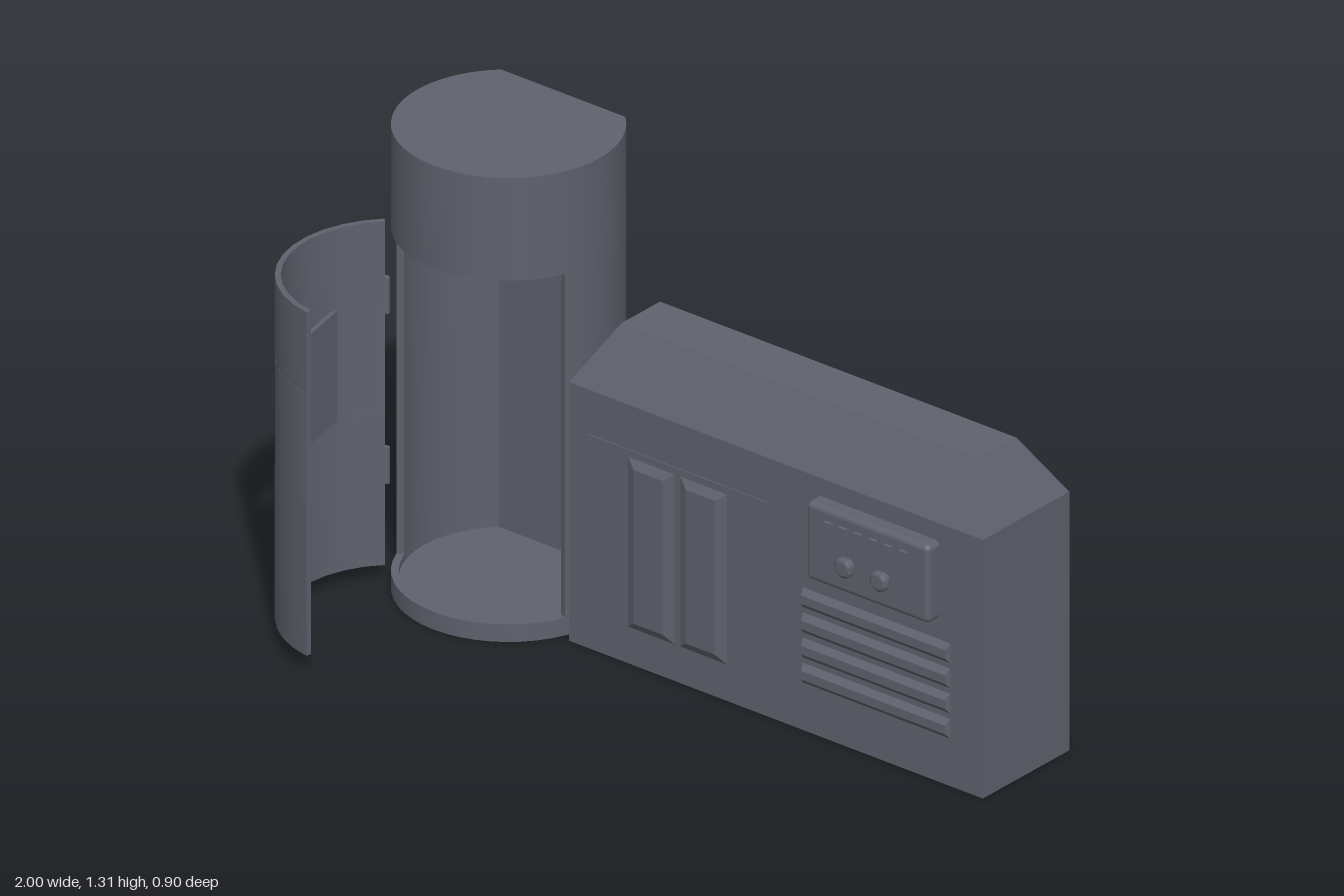
import * as THREE from 'three';
import { toCreasedNormals } from 'three/addons/utils/BufferGeometryUtils.js';
import { RoundedBoxGeometry } from 'three/addons/geometries/RoundedBoxGeometry.js';
import { ParametricGeometry } from 'three/addons/geometries/ParametricGeometry.js';

const material = new THREE.MeshStandardMaterial({ color: 0x5f616d, side: THREE.DoubleSide });

function add(parent, name, geometry, x = 0, y = 0, z = 0) {
  const mesh = new THREE.Mesh(geometry, material);
  mesh.name = name;
  mesh.position.set(x, y, z);
  parent.add(mesh);
  return mesh;
}

// points on an arc, as a plan outline (second coordinate is -z)
function arc(cx, cz, r, from, to, n) {
  return Array.from({ length: n + 1 }, (_, i) => {
    const a = from + (to - from) * i / n;
    return new THREE.Vector2(cx + r * Math.cos(a), -cz + r * Math.sin(a));
  });
}

// plan outline raised from y0 to y1
function prism(points, y0, y1, hole) {
  const shape = new THREE.Shape(points);
  if (hole) shape.holes.push(new THREE.Path(hole));
  const g = new THREE.ExtrudeGeometry(shape, { depth: y1 - y0, bevelEnabled: false });
  g.rotateX(-Math.PI / 2).translate(0, y0, 0);
  return toCreasedNormals(g, 0.5);
}

// box whose front (+z) or top (+y) face is drawn in by insets
function frustum(w, h, d, axis, insetA, insetB) {
  const g = new THREE.BoxGeometry(w, h, d);
  const p = g.attributes.position;
  for (let i = 0; i < p.count; i++) {
    const v = new THREE.Vector3().fromBufferAttribute(p, i);
    if (v[axis] < 0) continue;
    const other = axis === 'z' ? 'y' : 'z';
    v.x -= Math.sign(v.x) * insetA;
    v[other] -= Math.sign(v[other]) * insetB;
    p.setXYZ(i, v.x, v.y, v.z);
  }
  const flat = g.toNonIndexed();
  flat.computeVertexNormals();
  return flat;
}

function createTower() {
  const tower = new THREE.Group();
  tower.name = 'tower';
  const cx = -0.645, cz = -0.235, R = 0.295, wall = 0.02, back = 0.215, open = 0.38;
  const cut = Math.asin(back / R), cutIn = Math.asin((back - wall) / (R - wall));
  const outline = arc(cx, cz, R, Math.PI - cut, 2 * Math.PI + cut, 36);
  const inner = arc(cx, cz, R - wall, Math.PI - cutIn, 2 * Math.PI + cutIn, 36);

  add(tower, 'towerBase', prism(outline, 0, 0.03));
  add(tower, 'towerBaseRim', prism(outline, 0.03, 0.05, inner));
  add(tower, 'towerHead', prism(outline, 1.02, 1.31));
  // chamber wall, open at the front
  add(tower, 'chamberWall', prism([
    ...arc(cx, cz, R, -open, cut, 8),
    ...arc(cx, cz, R, Math.PI - cut, Math.PI + open, 8),
    ...arc(cx, cz, R - wall, Math.PI + open, Math.PI - cutIn, 8),
    ...arc(cx, cz, R - wall, cutIn, -open, 8),
  ], 0.05, 1.02));
  return tower;
}

function createDoor() {
  const door = new THREE.Group();
  door.name = 'curvedDoor';
  const cx = -0.695, cz = 0.145, R = 0.305, r = 0.29;
  const start = -0.78, end = 1.43, mid = 0.21, half = 0.526;
  const yMid = 0.635, halfH = 0.155, hole = 0.135;
  // angles run from -x towards +z
  const sheet = (a, b, y0, y1) => prism([
    ...arc(cx, cz, R, Math.PI + a, Math.PI + b, 12),
    ...arc(cx, cz, r, Math.PI + b, Math.PI + a, 12),
  ], y0, y1);
  add(door, 'doorLower', sheet(start, end, 0.05, yMid - halfH));
  add(door, 'doorUpper', sheet(start, end, yMid + halfH, 1.02));
  add(door, 'doorHingeSide', sheet(start, mid - half, yMid - halfH, yMid + halfH));
  add(door, 'doorFreeSide', sheet(mid + half, end, yMid - halfH, yMid + halfH));

  // door surface around the round window, with the window's edge
  const surround = new ParametricGeometry((u, v, target) => {
    const t = u * 2 * Math.PI, c = Math.cos(t), s = Math.sin(t);
    const k = Math.round(v * 3);
    const onSquare = k === 0 || k === 3;
    const m = Math.max(Math.abs(c), Math.abs(s));
    const a = mid + (onSquare ? half * c / m : hole * c / R);
    const y = yMid + (onSquare ? halfH * s / m : hole * s);
    const rad = k < 2 ? R : r;
    target.set(cx - rad * Math.cos(a), y, cz + rad * Math.sin(a));
  }, 48, 3);
  add(door, 'windowSurround', toCreasedNormals(surround, 0.6));

  // flat pane behind the window
  const d = r * Math.cos(half);
  const pane = add(door, 'windowPane', new THREE.BoxGeometry(0.012, 2 * halfH, 2 * r * Math.sin(half)),
    cx - d * Math.cos(mid), yMid, cz + d * Math.sin(mid));
  pane.rotation.y = mid;

  for (const y of [0.32, 0.8]) {
    add(door, 'hinge', new THREE.CylinderGeometry(0.01, 0.01, 0.1, 10), -0.915, y, -0.08);
  }
  return door;
}

function createConsole() {
  const unit = new THREE.Group();
  unit.name = 'console';
  const face = -0.11, cx = 0.3275;
  add(unit, 'consoleBody', new THREE.BoxGeometry(1.345, 0.73, 0.34), cx, 0.365, -0.28);
  add(unit, 'consoleTop', frustum(1.345, 0.16, 0.34, 'y', 0.093, 0.095), cx, 0.81, -0.28);

  // cupboard plate with two raised panels
  add(unit, 'cupboardPlate', new THREE.BoxGeometry(0.58, 0.52, 0.006), 0.01, 0.345, face);
  for (const x of [-0.075, 0.095]) {
    add(unit, 'raisedPanel', frustum(0.165, 0.49, 0.016, 'z', 0.035, 0.028), x, 0.345, face + 0.008);
  }

  // vent slats
  for (let i = 0; i < 4; i++) {
    add(unit, 'ventSlat', frustum(0.48, 0.056, 0.014, 'z', 0.006, 0.016), 0.655, 0.375 - i * 0.071, face + 0.007);
  }

  // control box with buttons and knobs
  add(unit, 'controlBox', new RoundedBoxGeometry(0.4, 0.22, 0.07, 3, 0.016), 0.66, 0.57, -0.1);
  for (let i = 0; i < 6; i++) {
    add(unit, 'button', new THREE.BoxGeometry(0.024, 0.022, 0.012), 0.537 + i * 0.049, 0.635, -0.062);
  }
  const knob = new THREE.LatheGeometry([
    [0, 0], [0.018, 0], [0.016, 0.012], [0.028, 0.016], [0.028, 0.024], [0.02, 0.03], [0, 0.031],
  ].map(([x, y]) => new THREE.Vector2(x, y)), 20);
  knob.rotateX(Math.PI / 2);
  const creased = toCreasedNormals(knob, 0.5);
  for (const x of [0.602, 0.717]) add(unit, 'knob', creased, x, 0.545, -0.066);
  return unit;
}

export function createModel() {
  const model = new THREE.Group();
  model.name = 'chamberAndConsole';
  model.add(createTower(), createDoor(), createConsole());
  return model;
}
